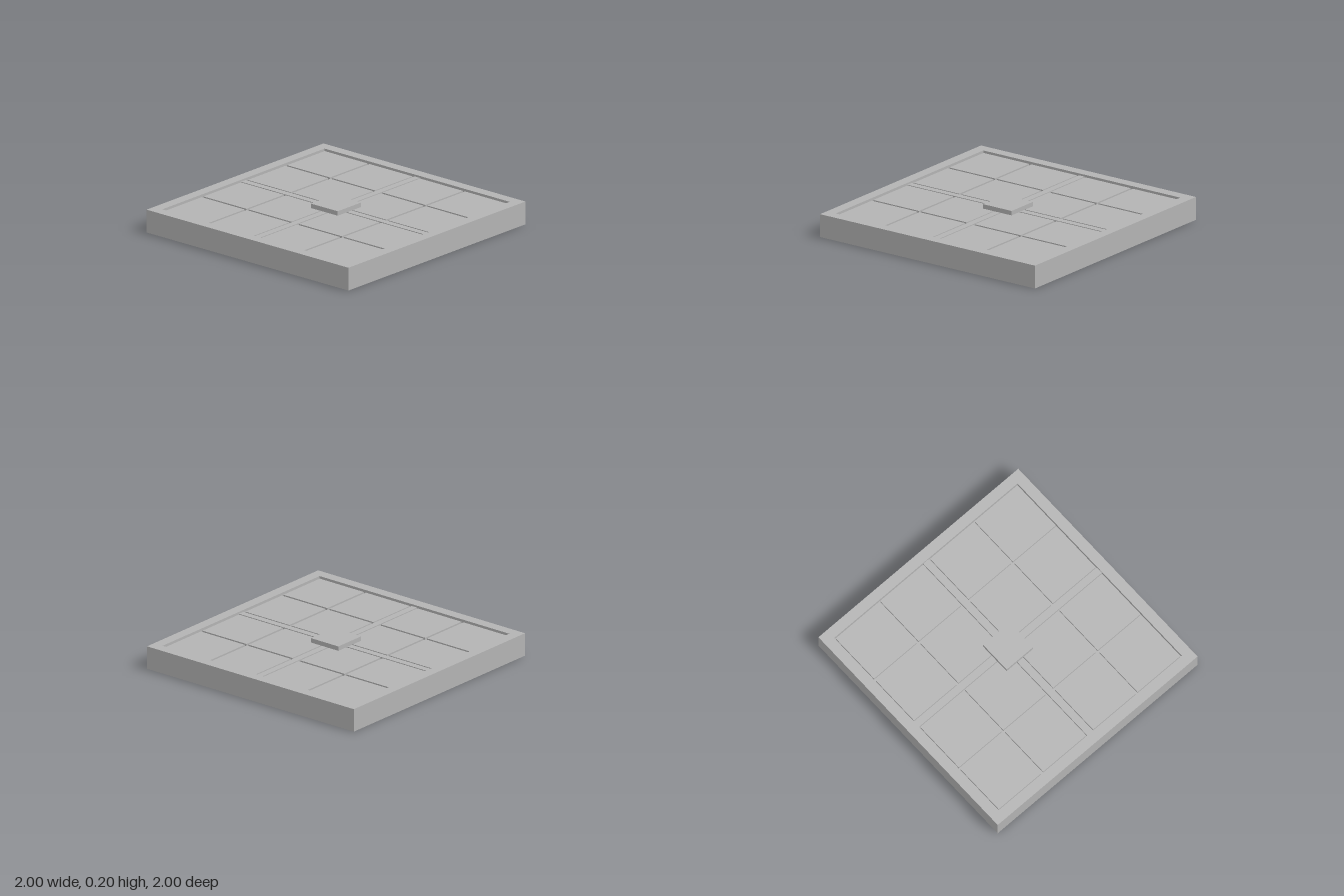
import * as THREE from 'three';

const FRAME_TOP = 0.18, PANEL_TOP = 0.165, FLOOR = 0.145;
const INNER = 0.917; // half width of the opening in the frame

export function createModel() {
  const model = new THREE.Group();
  model.name = 'panelledSlab';
  const grey = new THREE.MeshStandardMaterial({ color: 0xb3b3b3 });
  grey.name = 'plain grey';

  const add = (name, geometry, parent = model) => {
    const mesh = new THREE.Mesh(geometry, grey);
    mesh.name = name;
    parent.add(mesh);
    return mesh;
  };
  // Box given by its plan size, centre and bottom and top heights
  const slab = (name, w, d, y0, y1, x = 0, z = 0, parent = model) =>
    add(name, new THREE.BoxGeometry(w, y1 - y0, d), parent).position.set(x, (y0 + y1) / 2, z);

  // Raised rim with a square opening
  const square = (path, h) =>
    path.moveTo(-h, -h).lineTo(h, -h).lineTo(h, h).lineTo(-h, h).closePath();
  const outline = square(new THREE.Shape(), 1);
  outline.holes.push(square(new THREE.Path(), INNER));
  const rim = new THREE.ExtrudeGeometry(outline, { depth: FRAME_TOP, bevelEnabled: false });
  add('frame', rim.rotateX(-Math.PI / 2));

  // Recessed bed, seen at the bottom of the grooves
  slab('bed', INNER * 2, INNER * 2, 0, FLOOR);

  // Four by four panels with narrow grooves between them
  const panels = new THREE.Group();
  panels.name = 'panels';
  model.add(panels);
  const centres = [-0.695, -0.25, 0.25, 0.695];
  for (const x of centres)
    for (const z of centres)
      slab('panel', 0.425, 0.425, FLOOR, PANEL_TOP, x, z, panels);

  // Cross bars between the four quarters
  slab('crossBarLong', 0.052, INNER * 2, FLOOR, PANEL_TOP);
  for (const side of [-1, 1])
    slab('crossBarSide', INNER - 0.026, 0.052, FLOOR, PANEL_TOP, side * (INNER + 0.026) / 2, 0);

  // Square plate over the crossing
  slab('centrePlate', 0.265, 0.265, PANEL_TOP, 0.2);

  return model;
}
